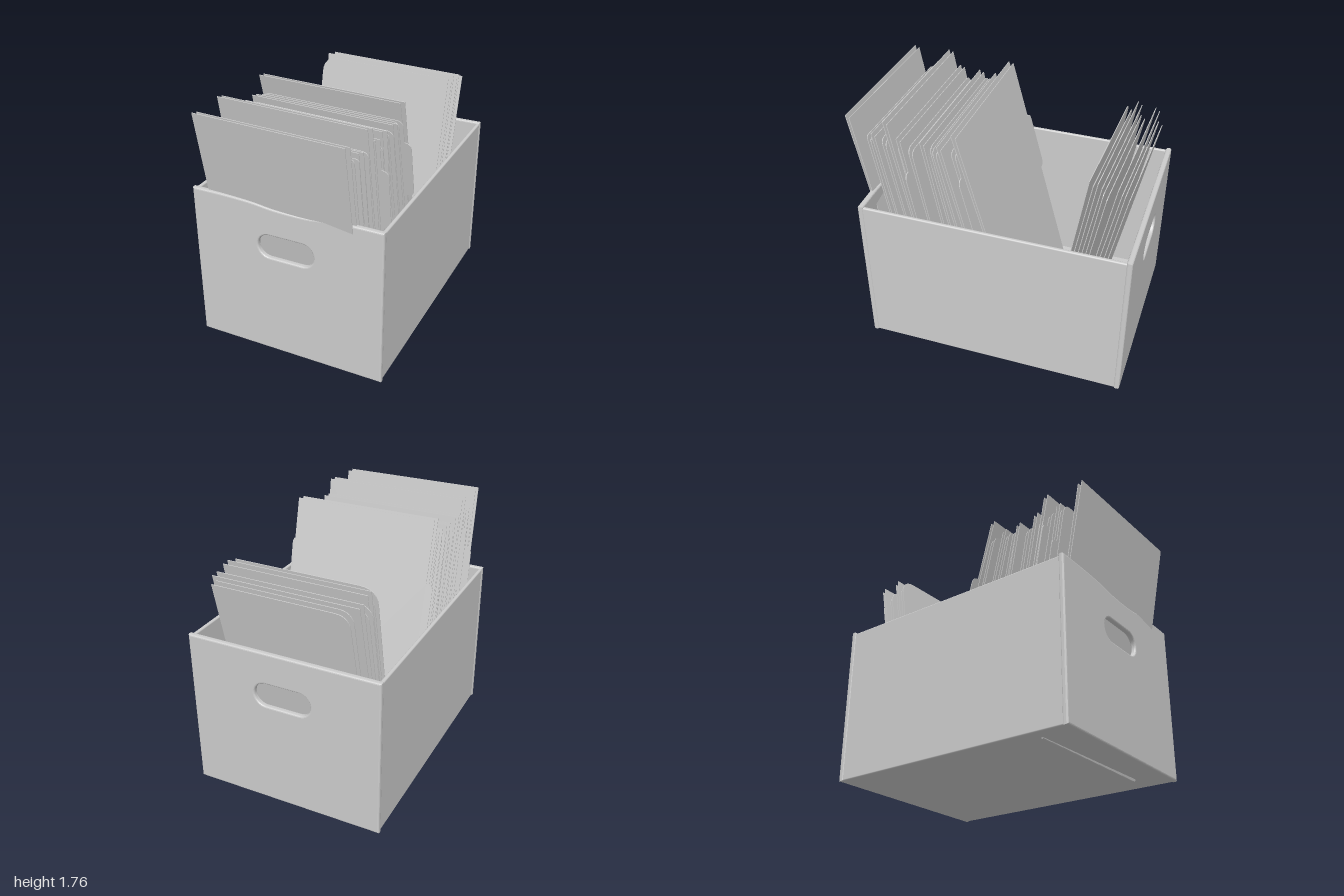
import * as THREE from 'three';
import { RoundedBoxGeometry } from 'three/addons/geometries/RoundedBoxGeometry.js';

const material = new THREE.MeshStandardMaterial({ color: 0xcccccc, side: THREE.DoubleSide });

function add(parent, name, geometry, x = 0, y = 0, z = 0) {
  const mesh = new THREE.Mesh(geometry, material);
  mesh.name = name;
  mesh.position.set(x, y, z);
  parent.add(mesh);
  return mesh;
}

// End wall with a stadium-shaped grip hole; its upper edge may sag
function endWall(sag) {
  const b = 0.012, w = 0.69 - b, top = 1.165 - b, bottom = 0.02 + b;
  const s = new THREE.Shape();
  s.moveTo(-w, bottom);
  s.lineTo(w, bottom);
  s.lineTo(w, top);
  s.splineThru([[0.5, 0], [0.33, 0.25], [0.18, 0.9], [0.05, 1], [-0.1, 0.8], [-0.25, 0.25], [-0.45, 0], [-w, 0]]
    .map(([x, d]) => new THREE.Vector2(x, top - d * sag)));
  s.closePath();
  const r = 0.085 + b, cx = 0.12, cy = 0.855;
  const hole = new THREE.Path();
  hole.absarc(cx, cy, r, -Math.PI / 2, Math.PI / 2, false);
  hole.absarc(-cx, cy, r, Math.PI / 2, Math.PI * 1.5, false);
  hole.closePath();
  s.holes.push(hole);
  return new THREE.ExtrudeGeometry(s, {
    depth: 0.016, bevelThickness: b, bevelSize: b, bevelSegments: 3, curveSegments: 16
  }).translate(0, 0, -0.008);
}

// Thin card: r rounds the left upper corner, r2 the right one,
// tab is [side, upper height] of a rounded ear on one edge
function card(xL, xR, h, r, r2, tab) {
  const s = new THREE.Shape();
  const ear = (dir, x, y0, y1) => {
    const d = 0.05 * dir, v = Math.sign(y1 - y0) * 0.05;
    s.lineTo(x, y0);
    s.quadraticCurveTo(x + d, y0, x + d, y0 + v);
    s.lineTo(x + d, y1 - v);
    s.quadraticCurveTo(x + d, y1, x, y1);
  };
  s.moveTo(xL, 0);
  s.lineTo(xR, 0);
  if (tab && tab[0] > 0) ear(1, xR, tab[1] - 0.45, tab[1]);
  s.lineTo(xR, h - r2);
  s.quadraticCurveTo(xR, h, xR - r2, h);
  s.lineTo(xL + r, h);
  s.quadraticCurveTo(xL, h, xL, h - r);
  if (tab && tab[0] < 0) ear(-1, xL, tab[1], tab[1] - 0.45);
  s.closePath();
  return new THREE.ExtrudeGeometry(s, { depth: 0.005, bevelEnabled: false, curveSegments: 6 });
}

// Folder: two cards opening upward from a folded lower edge
function folder(name, [z, y, lean, xL, xR, r, r2, tab, base = 0.035]) {
  const g = new THREE.Group();
  g.name = name;
  const h = (y - base) * Math.hypot(1, lean);
  add(g, 'frontCard', card(xL, xR, h, r, r2, null), 0, 0, 0.004).rotation.x = 0.006;
  add(g, 'rearCard', card(xL + 0.01, xR + 0.015, h - 0.012, r, r2, tab), 0, 0, -0.009).rotation.x = -0.006;
  const fold = new THREE.CylinderGeometry(0.009, 0.009, xR - xL, 8).rotateZ(Math.PI / 2);
  add(g, 'fold', fold, (xL + xR) / 2, 0.005, 0);
  g.position.set(0, base, z - lean * (y - base));
  g.rotation.set(Math.atan(lean), -0.03, -0.012, 'YXZ');
  return g;
}

export function createModel() {
  const model = new THREE.Group();
  const box = new THREE.Group();
  box.name = 'box';
  model.add(box);

  // Open box
  add(box, 'floor', new RoundedBoxGeometry(1.36, 0.025, 1.86, 3, 0.01), 0, 0.0325, -0.05);
  for (const side of [-1, 1]) {
    add(box, side > 0 ? 'leftWall' : 'rightWall',
      new RoundedBoxGeometry(0.026, 1.135, 1.86, 3, 0.01), side * 0.672, 0.5875, -0.05);
  }
  add(box, 'frontWall', endWall(0.03), 0, 0, 0.868);
  add(box, 'backWall', endWall(0), 0, 0, -0.972);

  // Upper z, upper y, lean, left and right edges, corner radii, ear, base height
  const frontFolders = [
    [0.975, 1.745, 0.185, -0.585, 0.475, 0, 0, null, 0.01],
    [0.84, 1.61, 0.17, -0.59, 0.47, 0.06, 0.03, [-1, 1.33]],
    [0.80, 1.64, 0.18, -0.58, 0.48, 0, 0, null],
    [0.73, 1.61, 0.18, -0.57, 0.48, 0.05, 0.05, [-1, 1.5]],
    [0.70, 1.755, 0.19, -0.58, 0.49, 0, 0, null],
    [0.65, 1.61, 0.18, -0.56, 0.47, 0.06, 0.06, null],
    [0.61, 1.65, 0.18, -0.57, 0.5, 0, 0, [1, 1.4]],
    [0.54, 1.58, 0.18, -0.56, 0.49, 0.06, 0.06, null],
    [0.455, 1.64, 0.18, -0.56, 0.48, 0, 0, null],
    [0.42, 1.62, 0.2, -0.55, 0.47, 0.06, 0.06, null],
    [0.37, 1.6, 0.22, -0.56, 0.49, 0.05, 0.05, null],
    [0.33, 1.64, 0.24, -0.55, 0.5, 0, 0, null],
    [0.235, 1.62, 0.24, -0.55, 0.5, 0.05, 0.05, [1, 1.45]],
    [0.225, 1.75, 0.27, -0.55, 0.505, 0, 0, [-1, 1.33]]
  ];
  const backFolders = [
    [-0.68, 1.6, -0.17, -0.54, 0.49, 0.12, 0, null],
    [-0.74, 1.61, -0.18, -0.53, 0.51, 0, 0, null],
    [-0.775, 1.53, -0.18, -0.55, 0.5, 0.1, 0.03, null],
    [-0.865, 1.58, -0.2, -0.54, 0.51, 0, 0, null],
    [-0.91, 1.54, -0.2, -0.49, 0.49, 0.1, 0, null]
  ];
  for (const [name, list] of [['frontFolders', frontFolders], ['backFolders', backFolders]]) {
    const stack = new THREE.Group();
    stack.name = name;
    list.forEach((row, i) => stack.add(folder(`folder${i + 1}`, row)));
    model.add(stack);
  }
  return model;
}
